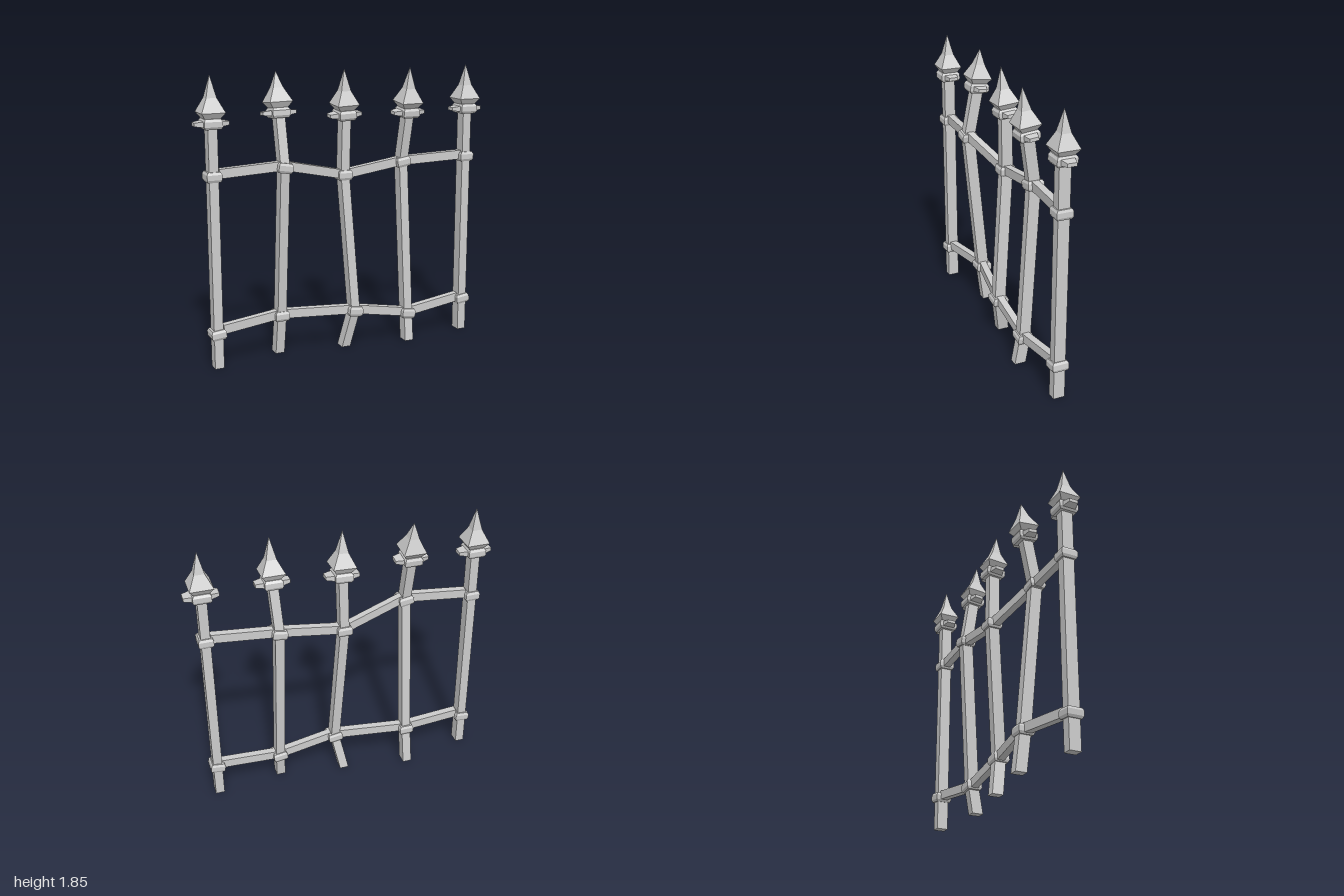
import * as THREE from 'three';

const material = new THREE.MeshStandardMaterial({ color: 0xcccccc, flatShading: true });

// Lofts rectangles along 'x' or 'y'. Each section is [x, y, z, halfU, halfV]:
// along y, U is z and V is x; along x, U is y and V is z.
function loft(axis, sections) {
  const rings = sections.map(([x, y, z, u, v]) =>
    [[1, 1], [-1, 1], [-1, -1], [1, -1]].map(([su, sv]) =>
      axis === 'y' ? [x + sv * v, y, z + su * u] : [x, y + su * u, z + sv * v]));
  const pos = [];
  const quad = (a, b, c, d) => pos.push(...a, ...b, ...c, ...a, ...c, ...d);
  for (let i = 0; i < rings.length - 1; i++) {
    for (let k = 0; k < 4; k++) {
      const n = (k + 1) % 4;
      quad(rings[i][k], rings[i][n], rings[i + 1][n], rings[i + 1][k]);
    }
  }
  const first = rings[0], last = rings[rings.length - 1];
  quad(first[3], first[2], first[1], first[0]);
  quad(last[0], last[1], last[2], last[3]);
  const geometry = new THREE.BufferGeometry();
  geometry.setAttribute('position', new THREE.Float32BufferAttribute(pos, 3));
  geometry.computeVertexNormals();
  return geometry;
}

function part(name, geometry) {
  const mesh = new THREE.Mesh(geometry, material);
  mesh.name = name;
  return mesh;
}

// Block with chamfered top and bottom edges
const block = (hx, hy, hz) => loft('y', [
  [0, -hy, 0, hz * 0.84, hx * 0.84],
  [0, -hy * 0.5, 0, hz, hx],
  [0, hy * 0.5, 0, hz, hx],
  [0, hy, 0, hz * 0.84, hx * 0.84],
]);

// Spear point on a collar with two side lugs, origin at the collar centre
function makeFinial(height) {
  const finial = new THREE.Group();
  finial.name = 'finial';
  finial.add(part('finialCollar', block(0.058, 0.032, 0.066)));
  finial.add(part('finialLugs', loft('x', [
    [-0.11, 0, 0, 0.011, 0.03],
    [-0.055, 0, 0, 0.018, 0.044],
    [0.055, 0, 0, 0.018, 0.044],
    [0.11, 0, 0, 0.011, 0.03],
  ])));
  finial.add(part('spearPoint', loft('y', [
    [0, 0.025, 0, 0.045, 0.045],
    [0, 0.068, 0, 0.073, 0.075],
    [0, 0.155, 0, 0.032, 0.033],
    [0, height, 0, 0.001, 0.001],
  ])));
  return finial;
}

export function createModel() {
  const fence = new THREE.Group();
  fence.name = 'fence';

  // Each post: foot, lower joint, upper joint, top, spear tip, and joint tilts
  const posts = [
    { path: [[-0.89, 0, 0.02], [-0.89, 0.225, 0.02], [-0.89, 1.235, 0.02], [-0.89, 1.56, 0.02]],
      tip: [-0.89, 1.85, 0.02], tilt: [0.1, 0] },
    { path: [[-0.445, 0, -0.075], [-0.44, 0.265, -0.04], [-0.44, 1.262, 0.055], [-0.443, 1.597, -0.013]],
      tip: [-0.447, 1.85, -0.04], tilt: [0, -0.17] },
    { path: [[0, 0, 0], [0.05, 0.255, 0.045], [0.005, 1.168, -0.025], [0.012, 1.56, -0.018]],
      tip: [0, 1.85, 0.005], tilt: [-0.13, 0] },
    { path: [[0.44, 0, 0.075], [0.445, 0.185, 0.045], [0.427, 1.225, -0.02], [0.442, 1.56, 0.035]],
      tip: [0.44, 1.85, 0.065], tilt: [-0.15, 0.15] },
    { path: [[0.885, 0, 0.02], [0.885, 0.225, 0.02], [0.885, 1.235, 0.02], [0.885, 1.56, 0.02]],
      tip: [0.885, 1.85, 0.02], tilt: [0.13, 0] },
  ];

  const up = new THREE.Vector3(0, 1, 0);
  for (const { path, tip, tilt } of posts) {
    const post = new THREE.Group();
    post.name = 'post';
    post.add(part('shaft', loft('y', path.map((p) => [...p, 0.038, 0.03]))));

    // Collars where the rails cross
    tilt.forEach((angle, i) => {
      const collar = part('railCollar', block(0.048, 0.032, 0.054));
      collar.position.set(...path[i + 1]);
      collar.rotation.z = angle;
      post.add(collar);
    });

    // Finial leaning toward its tip
    const lean = new THREE.Vector3(...tip).sub(new THREE.Vector3(...path[3]));
    const finial = makeFinial(lean.length());
    finial.position.set(...path[3]);
    finial.quaternion.setFromUnitVectors(up, lean.normalize());
    post.add(finial);
    fence.add(post);
  }

  // Bent rails running through the joints, stopping at the end posts
  const rails = [
    ['lowerRail', 1, [0.25, 0.275, 0.265, 0.19, 0.235]],
    ['upperRail', 2, [1.25, 1.275, 1.17, 1.23, 1.247]],
  ];
  for (const [name, joint, heights] of rails) {
    fence.add(part(name, loft('x', posts.map(({ path }, i) => {
      const [x, , z] = path[joint];
      const end = i === 0 ? 0.04 : i === 4 ? -0.035 : 0;
      return [x + end, heights[i], z, 0.03, 0.024];
    }))));
  }
  return fence;
}
